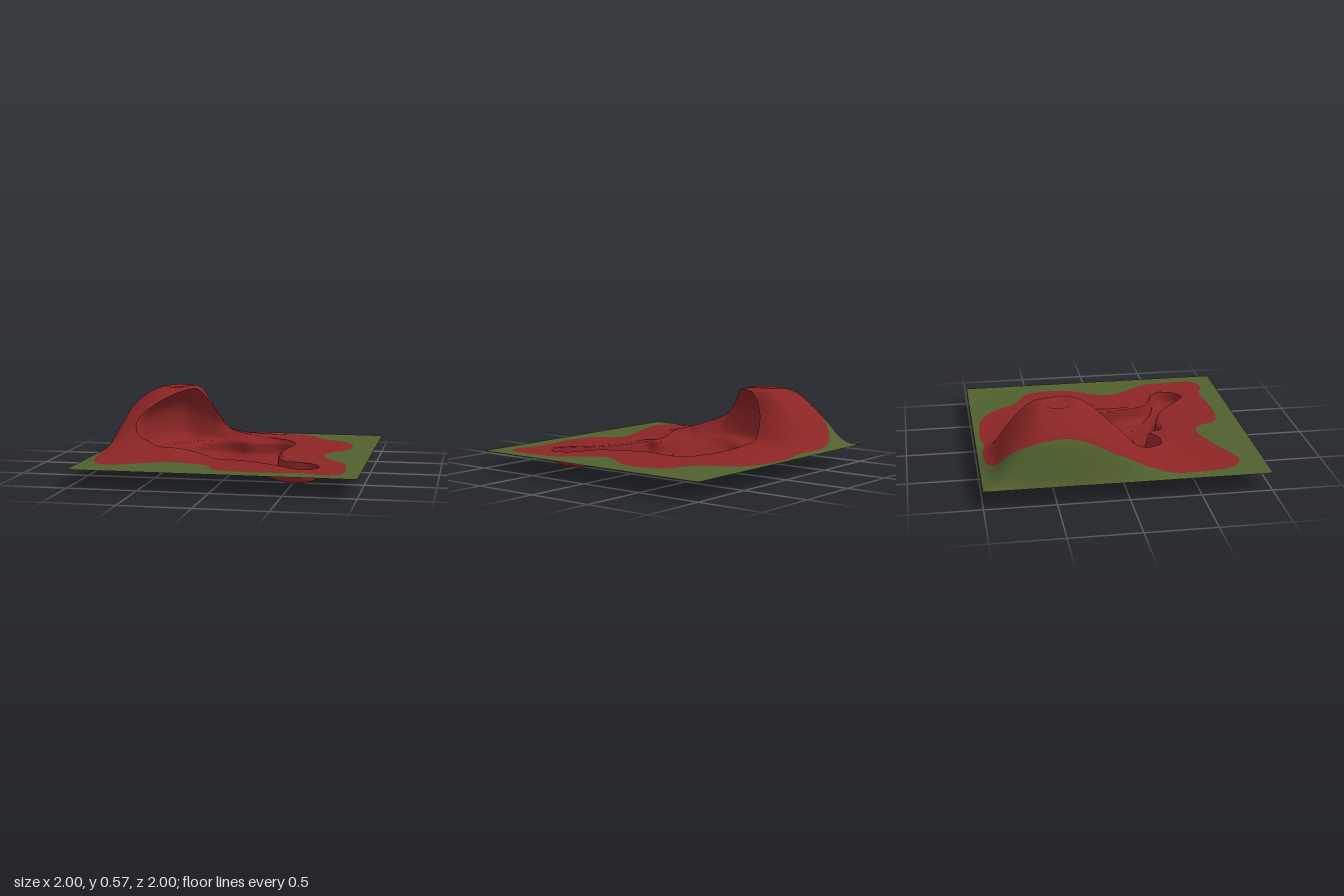
import * as THREE from 'three';

const N = 360; // columns around every loop
const BASE = 0.13; // level of the flat ground

// Outline of the red earth, paired point by point with the basin rim (x, z)
const EARTH = [
  [.67, .06], [.70, .2], [.78, .31], [.86, .42], [.88, .6], [.89, .77], [.85, .86], [.75, .88], [.6, .84],
  [.35, .86], [.15, .86], [0, .82], [-.08, .68], [-.18, .64], [-.4, .68], [-.6, .77], [-.75, .82], [-.87, .75],
  [-.94, .4], [-.92, .15], [-.91, -.1], [-.88, -.4], [-.87, -.68], [-.76, -.87], [-.62, -.94], [-.4, -.96],
  [-.23, -.94], [-.03, -.96], [.3, -.92], [.47, -.8], [.54, -.68], [.62, -.62], [.78, -.53], [.83, -.35],
  [.8, -.16], [.7, -.02],
];
const RIM = [
  [.33, .07], [.36, .22], [.41, .35], [.5, .41], [.62, .45], [.68, .55], [.65, .64], [.57, .68], [.47, .62],
  [.36, .52], [.22, .43], [.05, .38], [-.11, .37], [-.15, .29], [-.25, .26], [-.42, .29], [-.52, .27], [-.58, .22],
  [-.63, .12], [-.63, .02], [-.6, -.08], [-.52, -.18], [-.42, -.29], [-.34, -.4], [-.25, -.47], [-.16, -.49],
  [-.05, -.46], [.02, -.425], [.15, -.44], [.25, -.45], [.31, -.43], [.36, -.37], [.37, -.28], [.36, -.2],
  [.34, -.1], [.33, -.01],
];
// Cave lip from station 18 on: x, z, depth of the hollow behind it
const LIP_START = 18;
const LIP = [
  [-.7, .17, 0], [-.76, .05, 0], [-.65, -.1, .08], [-.53, -.2, .14], [-.43, -.31, .16], [-.38, -.45, .13],
  [-.3, -.56, .05], [-.2, -.6, 0], [-.08, -.57, 0], [.06, -.54, 0], [.2, -.5, 0],
];

// Hill profiles along x and z, sampled every 0.1 from -1 to 1
const HILL_X = [0, .6, .84, .96, 1, 1, .95, .61, .25, .15, .11, .09, .07, .06, .045, .035, .025, .02, .01, .005, 0];
const HILL_Z = [0, .16, .5, .77, .95, .99, 1, .97, .89, .75, .61, .39, .25, .16, .11, .08, .06, .04, .03, .015, 0];

function profile(table, v) {
  const s = THREE.MathUtils.clamp((v + 1) * 10, 0, 20);
  const i = Math.min(Math.floor(s), 19), t = s - i;
  const p = (k) => table[THREE.MathUtils.clamp(k, 0, 20)];
  const m0 = (p(i + 1) - p(i - 1)) / 2, m1 = (p(i + 2) - p(i)) / 2;
  const t2 = t * t, t3 = t2 * t;
  return (2 * t3 - 3 * t2 + 1) * p(i) + (t3 - 2 * t2 + t) * m0 + (3 * t2 - 2 * t3) * p(i + 1) + (t3 - t2) * m1;
}

function height(x, z) {
  // shallow round dent on the hilltop
  const dent = 0.012 * (1 - THREE.MathUtils.smoothstep(Math.hypot(x + .56, z + .43), .075, .1));
  return BASE + 0.44 * profile(HILL_X, x) * profile(HILL_Z, z) - dent;
}

// Smooth closed loop through [x, y, z] stations
function loop(stations) {
  const curve = new THREE.CatmullRomCurve3(stations.map((s) => new THREE.Vector3(...s)), true);
  return Array.from({ length: N }, (_, i) => curve.getPoint(i / N));
}

// Sheet over a list of closed rows, ordered from outside to inside
function sheet(name, rows, material) {
  const index = [];
  for (let r = 0; r < rows.length - 1; r++) {
    for (let i = 0; i < N; i++) {
      const j = (i + 1) % N;
      const a = r * N + i, b = r * N + j, c = a + N, d = b + N;
      index.push(a, c, b, b, c, d);
    }
  }
  const geometry = new THREE.BufferGeometry().setFromPoints(rows.flat());
  geometry.setIndex(index);
  geometry.computeVertexNormals();
  const mesh = new THREE.Mesh(geometry, material);
  mesh.name = name;
  return mesh;
}

// Rows between two loops that follow the hill height
function terrainRows(outer, inner, count) {
  return Array.from({ length: count + 1 }, (_, r) => outer.map((p, i) => {
    const q = p.clone().lerp(inner[i], r / count);
    q.y = height(q.x, q.z);
    return q;
  }));
}

export function createModel() {
  const grass = new THREE.MeshStandardMaterial({ color: 0x50602e, side: THREE.DoubleSide });
  grass.name = 'grass green';
  const earth = new THREE.MeshStandardMaterial({ color: 0x8c2525, side: THREE.DoubleSide });
  earth.name = 'earth red';

  const group = new THREE.Group();
  group.name = 'caveTerrain';

  // Square border: project the earth outline outwards and pin the corners
  const outline = loop(EARTH.map(([x, z]) => [x, 0, z]));
  const border = outline.map((p) => p.clone().divideScalar(Math.max(Math.abs(p.x), Math.abs(p.z))));
  for (const x of [-1, 1]) {
    for (const z of [-1, 1]) {
      const corner = new THREE.Vector3(x, 0, z);
      let best = border[0];
      for (const p of border) if (p.distanceTo(corner) < best.distanceTo(corner)) best = p;
      best.copy(corner);
    }
  }

  // Lip of the cave and basin
  const lipStations = RIM.map(([x, z], i) => LIP[i - LIP_START]
    ?? [x + (EARTH[i][0] - x) * 0.06, z + (EARTH[i][1] - z) * 0.06, 0]);
  const lip = loop(lipStations.map(([x, z]) => [x, 0, z]));
  for (const p of lip) p.y = height(p.x, p.z);
  const depth = loop(lipStations.map(([, , c], i) => [i, c, 0])).map((p) => Math.max(p.y, 0));
  const rim = loop(RIM.map(([x, z]) => [x, 0.125, z]));

  group.add(sheet('grassBorder', terrainRows(border, outline, 12), grass));
  group.add(sheet('earthHill', terrainRows(outline, lip, 44), earth));

  // Cave wall, shelf, basin wall and floor: one smooth section per column
  const centre = new THREE.Vector3(0.12, 0, 0.17);
  const columns = rim.map((p, i) => {
    const l = lip[i], c = depth[i];
    const back = new THREE.Vector3(-c, 0, -c);
    const shelf = l.clone().lerp(p, 0.6).add(back);
    shelf.y = Math.min(0.145, p.y + (l.y - p.y) * 0.3);
    const wall = l.clone().lerp(p, 0.2).add(back);
    wall.y = shelf.y + (l.y - shelf.y) * 0.6;
    // basin foot, inset at right angles to the rim
    const along = rim[(i + 1) % N].clone().sub(rim[(i + N - 1) % N]).normalize();
    const slope = THREE.MathUtils.smoothstep(-p.x, 0.3, 0.6);
    const inset = 0.02 + 0.08 * slope;
    const foot = new THREE.Vector3(p.x - along.z * inset, 0.035 + 0.03 * slope, p.z + along.x * inset);
    const floor = foot.clone().lerp(centre, 0.6);
    floor.y = 0.01;
    return new THREE.CatmullRomCurve3([l, wall, shelf, p, foot, floor, centre]);
  });
  const steps = 30;
  const rows = Array.from({ length: steps + 1 }, (_, r) => columns.map((curve) => {
    const q = curve.getPoint(r / steps);
    q.y = Math.max(q.y, 0);
    return q;
  }));
  group.add(sheet('caveAndBasin', rows, earth));

  return group;
}
